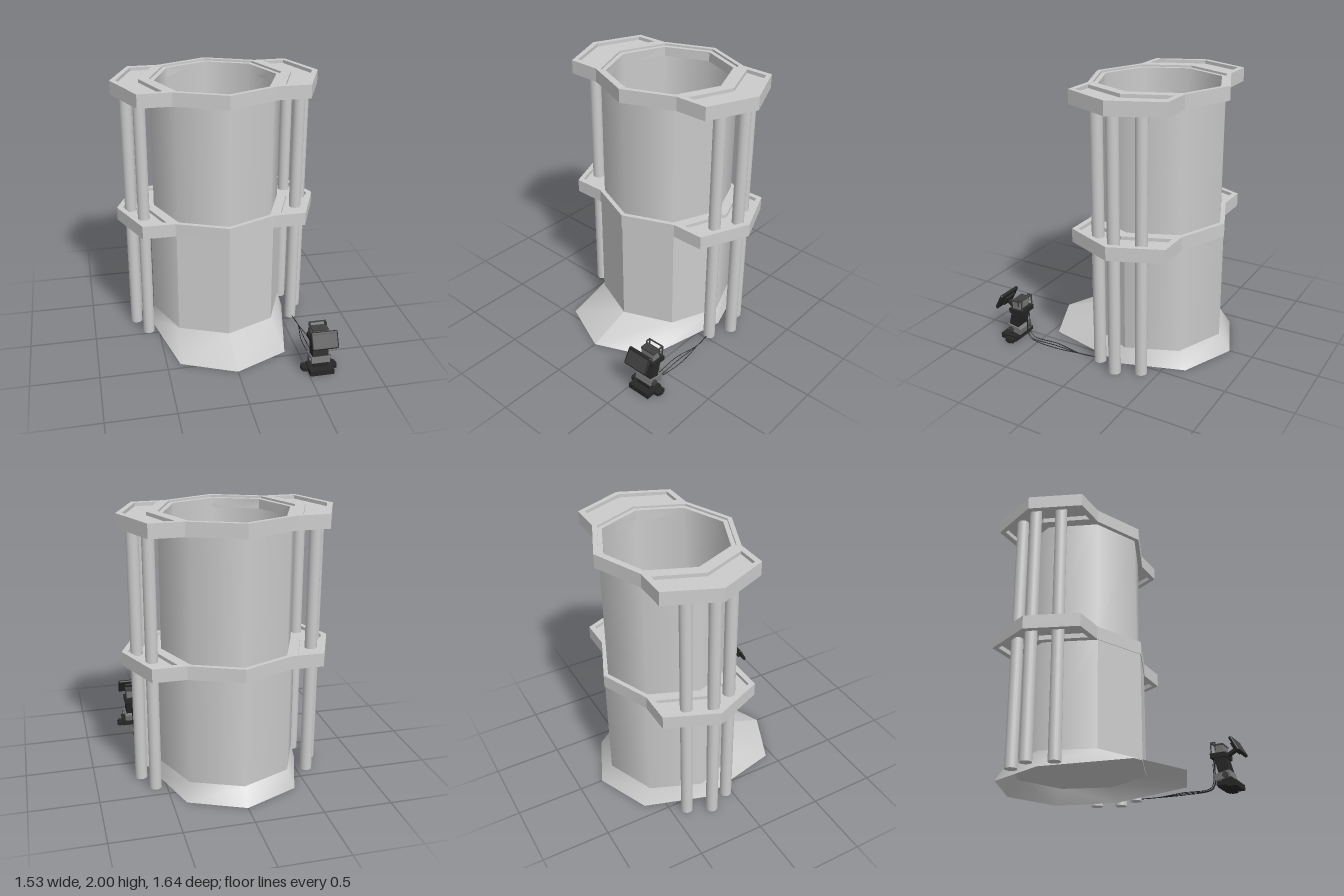
import * as THREE from 'three';
import { RoundedBoxGeometry } from 'three/addons/geometries/RoundedBoxGeometry.js';

const CZ = -0.215; // z of the tower axis
const grey = new THREE.MeshStandardMaterial({ color: 0xcccccc, side: THREE.DoubleSide });
const flatGrey = new THREE.MeshStandardMaterial({ color: 0xcccccc, side: THREE.DoubleSide, flatShading: true });
const black = new THREE.MeshStandardMaterial({ color: 0x262626 });
const dark = new THREE.MeshStandardMaterial({ color: 0x404040 });
const metal = new THREE.MeshStandardMaterial({ color: 0x777777 });

function add(parent, name, geometry, material, x = 0, y = 0, z = 0, rx = 0) {
  const mesh = new THREE.Mesh(geometry, material);
  mesh.name = name;
  mesh.position.set(x, y, z);
  mesh.rotation.x = rx;
  parent.add(mesh);
  return mesh;
}

const poly = (pts) => pts.map(([x, y]) => new THREE.Vector2(x, y));
const octagon = (r) => poly(Array.from({ length: 8 }, (_, i) =>
  [r * Math.sin(i * Math.PI / 4), r * Math.cos(i * Math.PI / 4)]));

// Horizontal plate whose underside lies on y = 0
function plate(outline, holes, depth) {
  const shape = new THREE.Shape(outline);
  shape.holes = holes.map((h) => new THREE.Path(h));
  return new THREE.ExtrudeGeometry(shape, { depth, bevelEnabled: false }).rotateX(-Math.PI / 2);
}

// Octagonal collar with two wings and sunken wing panels
function collar(name) {
  const g = new THREE.Group();
  g.name = name;
  const half = [[0, 0.52], [0.37, 0.366], [0.61, 0.366], [0.765, 0], [0.61, -0.366], [0.37, -0.366]];
  const outline = poly([...half, ...half.map(([x, y]) => [-x, -y])]);
  const panels = [1, -1].map((s) => poly([[0.43, 0.325], [0.59, 0.325], [0.72, 0], [0.59, -0.325],
    [0.43, -0.325], [0.56, 0]].map(([x, y]) => [s * x, y])));
  add(g, 'collarFrame', plate(outline, [octagon(0.485), ...panels], 0.1), grey);
  for (const p of panels) add(g, 'wingPanel', plate(p, [], 0.04), grey, 0, 0.035);
  add(g, 'collarLip', plate(octagon(0.487), [octagon(0.45)], 0.07), grey, 0, 0.015);
  return g;
}

// Eight-sided wall between two heights
function wall(r, y0, y1, segments = 8, start = 0, length = Math.PI * 2) {
  return new THREE.CylinderGeometry(r, r, y1 - y0, segments, 1, true, start, length).translate(0, (y0 + y1) / 2, 0);
}

function buildTower() {
  const g = new THREE.Group();
  g.name = 'tower';
  g.position.z = CZ;

  // Upper drum
  add(g, 'upperDrum', wall(0.485, 1.0, 1.93), grey);
  add(g, 'upperDrumLining', wall(0.45, 1.0, 1.985), grey);

  // Lower drum: three flat front faces, smooth elsewhere
  const e = Math.PI / 4;
  add(g, 'lowerDrumFront', wall(0.515, 0.12, 0.93, 3, -e, 3 * e), flatGrey);
  add(g, 'lowerDrumBack', wall(0.515, 0.12, 0.93, 5, 2 * e, 5 * e), grey);
  add(g, 'lowerDrumLining', wall(0.42, 0.12, 1.0), grey);
  add(g, 'drumLedge', plate(octagon(0.487), [octagon(0.42)], 0.02), grey, 0, 0.98);
  add(g, 'floor', plate(octagon(0.513), [], 0.01), grey, 0, 0.115);

  // Base skirt, reaching further at the front than at the back
  const foot = [[0, 0.84], [0.4, 0.665], [0.55, 0.015], [0.4, -0.435], [0, -0.607],
    [-0.4, -0.435], [-0.55, 0.015], [-0.4, 0.665]];
  const skirt = new THREE.CylinderGeometry(0.515, 0.515, 0.12, 8, 1, true).translate(0, 0.06, 0);
  const pos = skirt.attributes.position;
  for (let i = 0; i < 9; i++) {
    const [x, z] = foot[i % 8];
    pos.setXYZ(9 + i, x, 0, z);
  }
  skirt.computeVertexNormals();
  add(g, 'baseSkirt', skirt, grey);

  // Collars
  for (const [name, y] of [['middleCollar', 0.915], ['topCollar', 1.9]]) {
    const c = collar(name);
    c.position.y = y;
    g.add(c);
  }

  // Three columns under each wing
  for (const s of [1, -1]) {
    for (const [x, z] of [[0.58, 0.17], [0.66, 0], [0.58, -0.17]]) {
      add(g, 'column', new THREE.CylinderGeometry(0.044, 0.044, 1.94, 20), grey, s * x, 0.97, z);
    }
  }
  return g;
}

function buildConsole() {
  const g = new THREE.Group();
  g.name = 'controlStand';
  g.position.x = 0.595;
  const box = (name, w, h, d, m, x, y, z, rx) => add(g, name, new THREE.BoxGeometry(w, h, d), m, x, y, z, rx);

  // Base and feet
  box('base', 0.18, 0.04, 0.14, black, 0, 0.02, 0.715);
  box('footBar', 0.27, 0.026, 0.035, black, 0, 0.014, 0.685);
  for (const s of [1, -1]) box('foot', 0.035, 0.03, 0.07, black, s * 0.11, 0.017, 0.685);
  box('ankle', 0.11, 0.05, 0.07, black, 0, 0.06, 0.7);
  box('lowerBracket', 0.14, 0.05, 0.12, metal, 0, 0.09, 0.675, -0.2);
  for (const s of [1, -1]) {
    add(g, 'pivot', new THREE.CylinderGeometry(0.022, 0.022, 0.016, 16).rotateZ(Math.PI / 2), dark, s * 0.076, 0.09, 0.7);
  }

  // Leaning post and head
  box('post', 0.12, 0.14, 0.08, black, 0, 0.175, 0.67, -0.25);
  box('headPlate', 0.145, 0.035, 0.12, black, 0, 0.245, 0.65);
  box('headBox', 0.11, 0.07, 0.065, metal, 0, 0.295, 0.655);
  box('headCap', 0.12, 0.012, 0.07, dark, 0, 0.327, 0.655);

  // Wire guards behind the head
  for (const s of [1, -1]) {
    box('guardPost', 0.008, 0.09, 0.008, dark, s * 0.06, 0.305, 0.597);
    box('guardTop', 0.008, 0.008, 0.04, dark, s * 0.06, 0.346, 0.613);
    box('guardFront', 0.008, 0.06, 0.008, dark, s * 0.06, 0.32, 0.629);
  }
  box('guardBar', 0.125, 0.008, 0.008, dark, 0, 0.346, 0.597);

  // Tilted screen on its arm
  box('screenArm', 0.04, 0.022, 0.1, black, 0, 0.268, 0.735, -0.5);
  add(g, 'screenBody', new RoundedBoxGeometry(0.2, 0.13, 0.026, 3, 0.011), black, 0, 0.305, 0.785, -0.48);
  box('screenGlass', 0.175, 0.1, 0.004, dark, 0, 0.3056, 0.7972, -0.48);
  box('screenBack', 0.1, 0.07, 0.02, black, 0, 0.297, 0.767, -0.48);
  return g;
}

function buildCables() {
  const g = new THREE.Group();
  g.name = 'cables';
  // Sideways sway of each cable along the ground
  for (const [x0, x1] of [[0.575, 0.565], [0.6, 0.595], [0.61, 0.628]]) {
    const path = new THREE.CatmullRomCurve3([[x0, 0.25, 0.605], [x0, 0.2, 0.592], [x0, 0.06, 0.588], [x0, 0.018, 0.56],
      [x1, 0.012, 0.34], [0.6, 0.012, 0.12], [0.585, 0.015, -0.02]].map((p) => new THREE.Vector3(...p)));
    add(g, 'cable', new THREE.TubeGeometry(path, 40, 0.003, 6), black);
  }
  return g;
}

export function createModel() {
  const model = new THREE.Group();
  model.name = 'wingedTower';
  model.add(buildTower(), buildConsole(), buildCables());
  return model;
}
